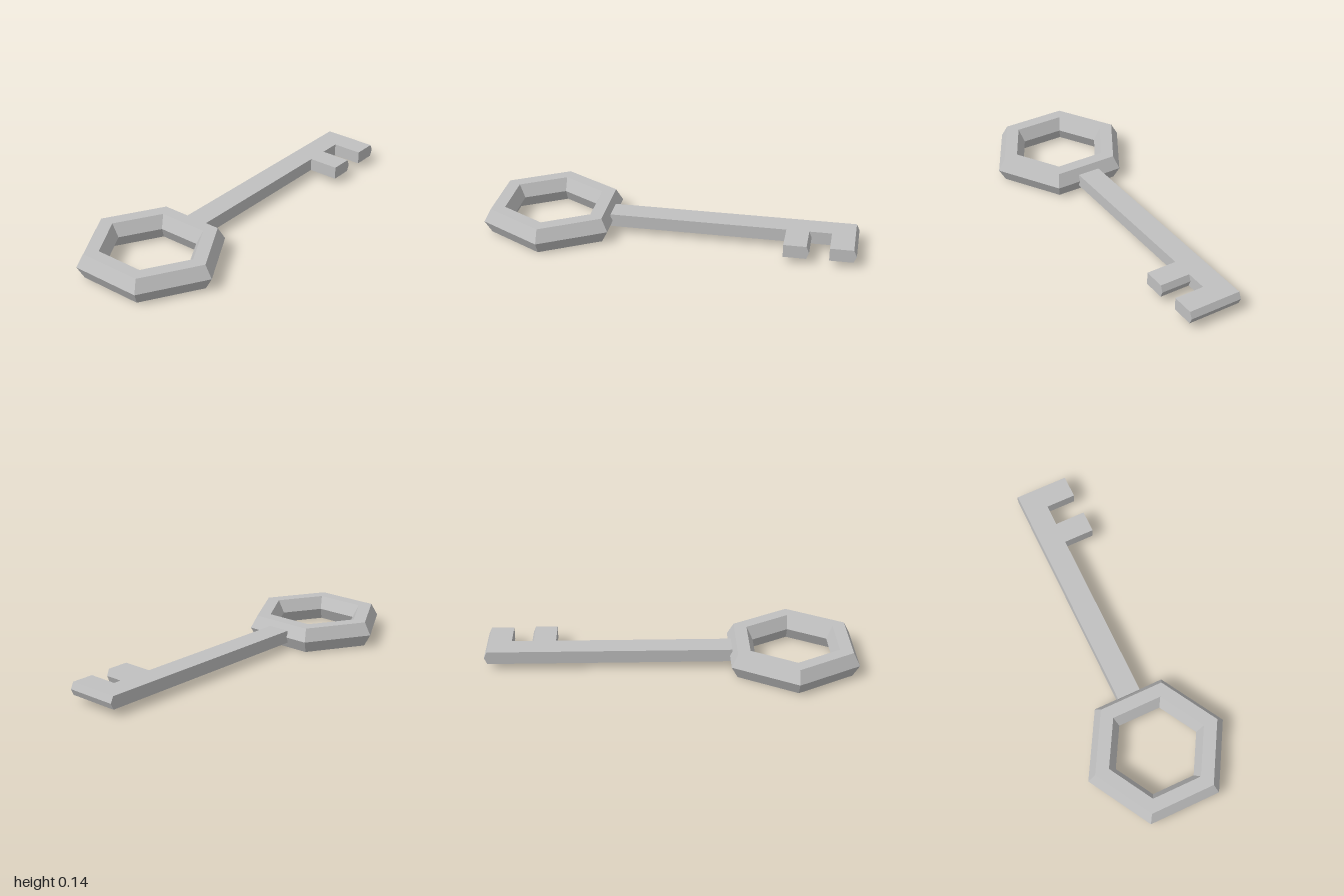
import * as THREE from 'three';

const BOTTOM = 0.035, TOP = 0.105, MID = 0.07;

// Bar running along x from x0 to x1, between front z and a pointed back edge
function bevelledBar(x0, x1, zFront, zBack, bevel) {
  const shape = new THREE.Shape([
    new THREE.Vector2(-zFront, BOTTOM),
    new THREE.Vector2(-zBack - bevel, BOTTOM),
    new THREE.Vector2(-zBack, MID),
    new THREE.Vector2(-zBack - bevel, TOP),
    new THREE.Vector2(-zFront, TOP),
  ]);
  const geo = new THREE.ExtrudeGeometry(shape, { depth: x1 - x0, bevelEnabled: false });
  return geo.rotateY(Math.PI / 2).translate(x0, 0, 0);
}

export function createModel() {
  const key = new THREE.Group();
  key.name = 'key';
  const metal = new THREE.MeshStandardMaterial({ color: 0xc0c0c0, flatShading: true });
  metal.name = 'grey metal';

  const add = (name, geo) => {
    const mesh = new THREE.Mesh(geo, metal);
    mesh.name = name;
    key.add(mesh);
  };

  // Six-sided ring handle with a six-sided section
  const ring = new THREE.TorusGeometry(0.314, 0.079, 6, 6);
  add('ringHandle', ring.rotateX(-Math.PI / 2).translate(0, 0.0685, 0.66));

  // Long shaft, from the ring to the tip tooth
  const shaft = new THREE.BoxGeometry(0.127, TOP - BOTTOM, 1.191);
  add('shaft', shaft.translate(-0.0015, MID, -0.2645));

  // Tip with its tooth, and the second tooth
  add('tipTooth', bevelledBar(-0.065, 0.226, -0.86, -1, 0.016));
  add('innerTooth', bevelledBar(0.06, 0.23, -0.62, -0.755, 0.014));

  return key;
}
